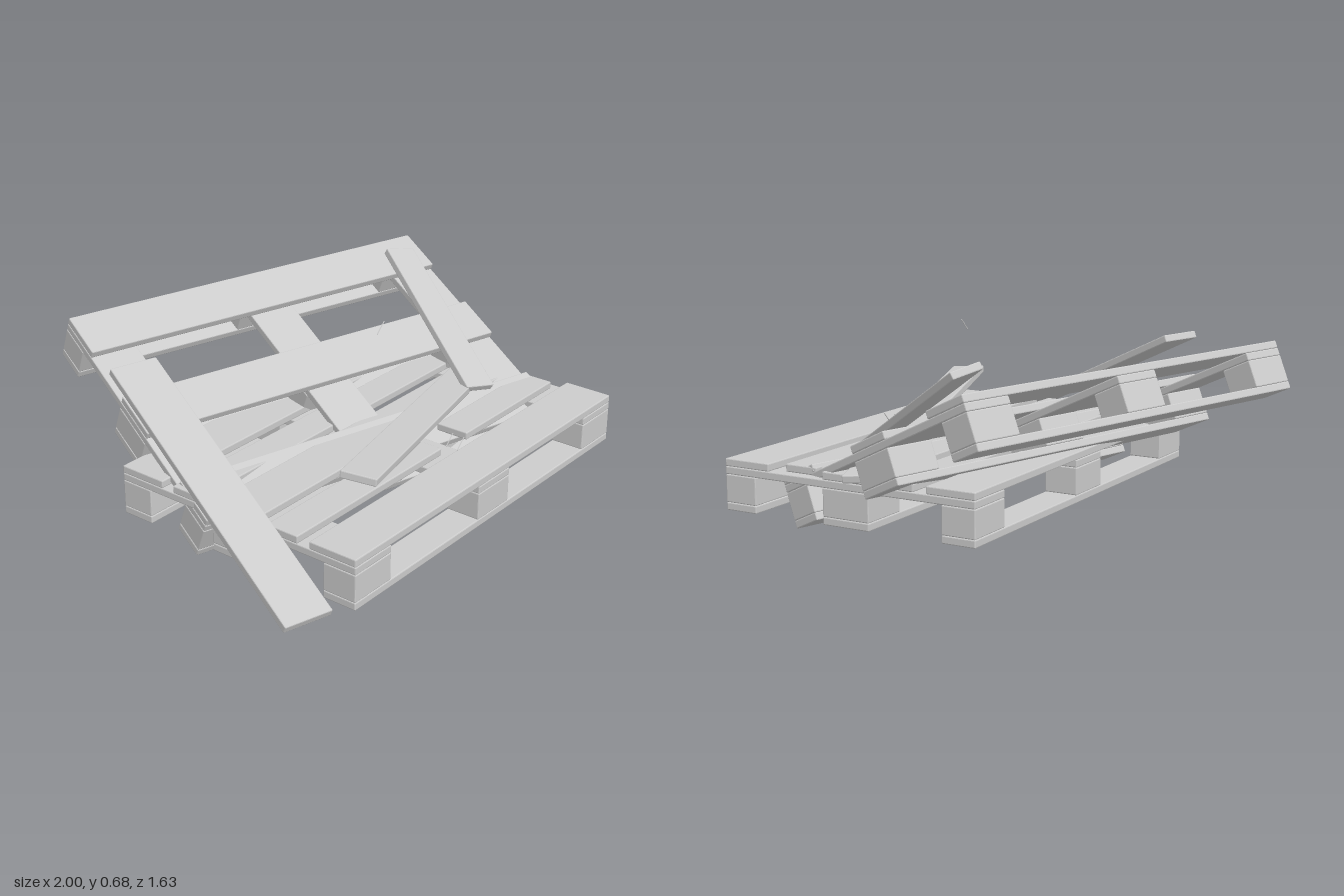
import * as THREE from 'three';
import { RoundedBoxGeometry } from 'three/addons/geometries/RoundedBoxGeometry.js';

const material = new THREE.MeshStandardMaterial({ color: 0xcccccc, flatShading: true });
const rad = THREE.MathUtils.degToRad;

const LENGTH = 1.61, DEPTH = 1.05;      // pallet footprint
const WIDE = 0.193, NARROW = 0.133;     // board widths
const THICK = 0.029, BLOCK = 0.104;     // board thickness, block height

// Slightly eased timber, placed by its centre
function timber(name, w, h, d, x, y, z) {
  const mesh = new THREE.Mesh(new RoundedBoxGeometry(w, h, d, 1, 0.004), material);
  mesh.name = name;
  mesh.position.set(x, y, z);
  return mesh;
}

// Places an object: yaw first, then pitch and roll in its own frame (degrees)
function pose(object, position, yaw, pitch = 0, roll = 0) {
  object.position.set(...position);
  object.rotation.set(rad(pitch), rad(yaw), rad(roll), 'YXZ');
  return object;
}

// deckBoards: list of [startX, endX, z, width]
function pallet(name, deckBoards) {
  const group = new THREE.Group();
  group.name = name;
  const rowZ = (DEPTH - NARROW) / 2;
  const columnX = (LENGTH - WIDE) / 2;

  for (const row of [-1, 0, 1]) {
    const width = row === 0 ? WIDE : NARROW;
    group.add(timber('skid', LENGTH, THICK, width, 0, THICK / 2, row * rowZ));
    for (const column of [-1, 0, 1]) {
      group.add(timber('block', WIDE, BLOCK, width, column * columnX, THICK + BLOCK / 2, row * rowZ));
    }
  }
  for (const column of [-1, 0, 1]) {
    group.add(timber('crossBoard', WIDE, THICK, DEPTH, column * columnX, THICK * 1.5 + BLOCK, 0));
  }
  for (const [start, end, z, width] of deckBoards) {
    group.add(timber('deckBoard', end - start, THICK, width, (start + end) / 2, THICK * 2.5 + BLOCK, z));
  }
  return group;
}

export function createModel() {
  const model = new THREE.Group();
  model.name = 'brokenPallets';
  const half = LENGTH / 2;
  const outer = (DEPTH - WIDE) / 2, inner = 0.214;

  // Flat pallet, with one deck board snapped in two
  model.add(pose(pallet('flatPallet', [
    [-half, half, -outer, WIDE],
    [-half, half, -inner, NARROW],
    [-half, half, 0, WIDE],
    [-half, 0.02, inner, NARROW],
    [0.18, 0.77, inner, NARROW],
    [-half, half, outer, WIDE],
  ]), [0.042, 0.05, 0.242], 3.5));

  // Leaning pallet, with two deck boards missing
  model.add(pose(pallet('leaningPallet', [
    [-half, half, -outer, WIDE],
    [-half, half, 0, WIDE],
    [-half, half, outer, WIDE],
  ]), [0.114, 0.215, -0.182], -12.2, 24.2));

  // Loose boards
  model.add(pose(timber('looseSideBoard', WIDE - 0.008, THICK, 1.2), [-0.79, 0.325, 0.24], -12.4, 24.4));
  model.add(pose(timber('looseShortBoard', NARROW, THICK, 0.73), [0.645, 0.45, 0.04], -19.5, 30, -11));
  model.add(pose(timber('looseDiagonalBoard', 1.45, THICK, NARROW), [0.173, 0.307, 0.373], 20, 4, -5.8));

  // Stray nails
  for (const [x, y, z] of [[0.028, 0.66, 0.265], [0.1, 0.275, 0.54], [0.1, 0.275, 0.59]]) {
    const nail = new THREE.Mesh(new THREE.CylinderGeometry(0.002, 0.002, 0.054, 6), material);
    nail.name = 'nail';
    model.add(pose(nail, [x, y, z], 0, 0, -42));
  }
  return model;
}
